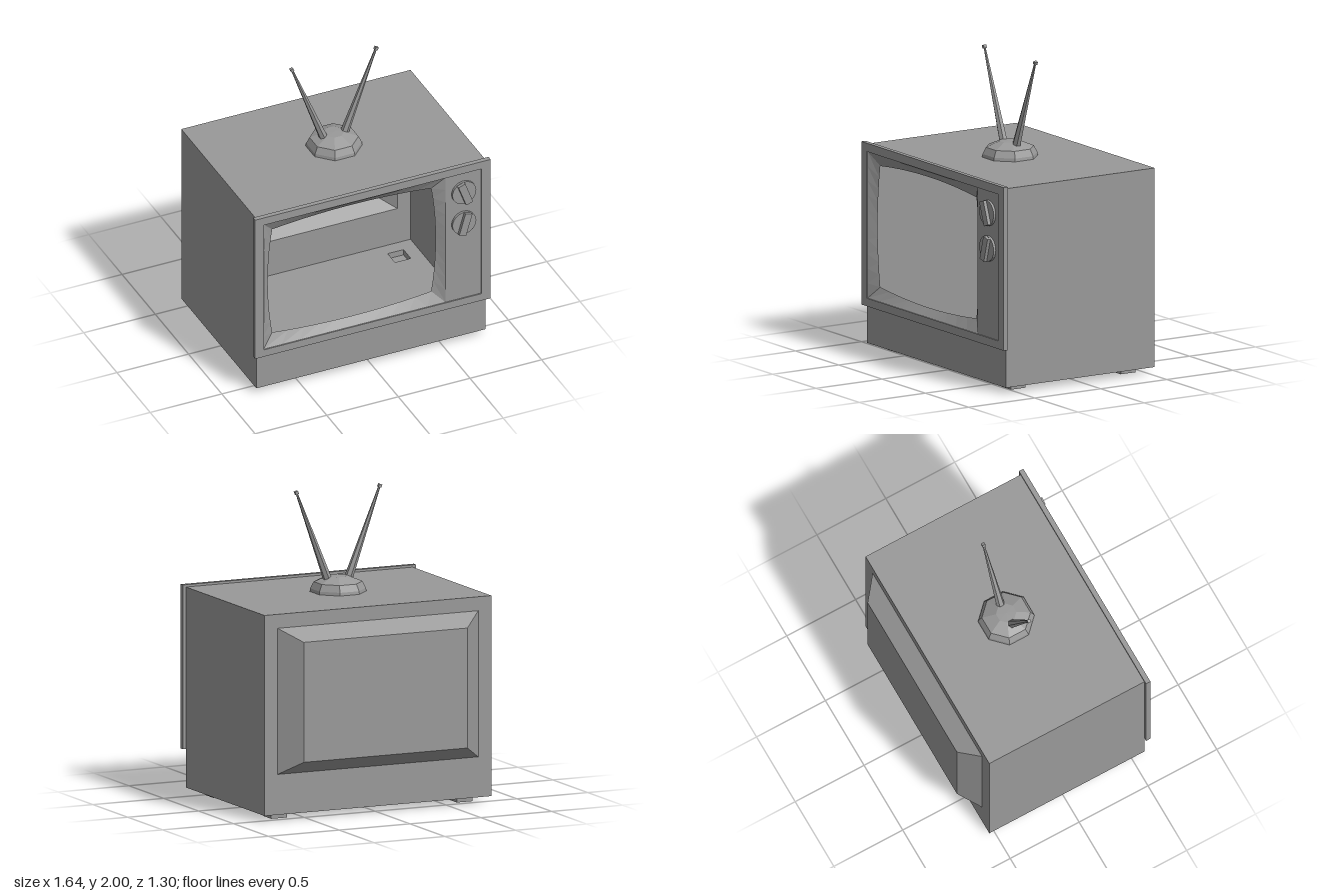
import * as THREE from 'three';

const shell = new THREE.MeshStandardMaterial({ color: 0x999999, flatShading: true, side: THREE.DoubleSide });
shell.name = 'grey';

// Counter-clockwise corners of a rectangle
const rect = (x0, x1, y0, y1) => [[x0, y0], [x1, y0], [x1, y1], [x0, y1]];
const vecs = (pts) => pts.map(([x, y]) => new THREE.Vector2(x, y));

function outline(pts, holes = []) {
  const s = new THREE.Shape(vecs(pts));
  for (const h of holes) s.holes.push(new THREE.Path(vecs(h)));
  return s;
}

// Flat sheet facing +z, with optional holes
const sheet = (pts, holes) => new THREE.ShapeGeometry(outline(pts, holes));

// Band of quads joining two closed loops that lie at heights za and zb
function band(a, za, b, zb) {
  const v = [];
  a.forEach((p, i) => {
    const j = (i + 1) % a.length;
    const A = [...p, za], B = [...a[j], za], C = [...b[j], zb], D = [...b[i], zb];
    v.push(...A, ...B, ...C, ...A, ...C, ...D);
  });
  const g = new THREE.BufferGeometry();
  g.setAttribute('position', new THREE.Float32BufferAttribute(v, 3));
  g.computeVertexNormals();
  return g;
}

// Rectangle with each side split in n and bowed outwards by the given amount
function bowed(x0, x1, y0, y1, bulge, n = 10) {
  const c = rect(x0, x1, y0, y1), out = [];
  for (let k = 0; k < 4; k++) {
    const [ax, ay] = c[k], [bx, by] = c[(k + 1) % 4];
    const len = Math.hypot(bx - ax, by - ay);
    for (let i = 0; i < n; i++) {
      const t = i / n, o = bulge * 4 * t * (1 - t);
      out.push([ax + (bx - ax) * t + (by - ay) / len * o, ay + (by - ay) * t - (bx - ax) / len * o]);
    }
  }
  return out;
}

export function createModel() {
  const model = new THREE.Group();
  model.name = 'television';
  const add = (parent, name, geo, x = 0, y = 0, z = 0) => {
    const m = new THREE.Mesh(geo, shell);
    m.name = name;
    m.position.set(x, y, z);
    parent.add(m);
    return m;
  };
  const group = (name) => {
    const g = new THREE.Group();
    g.name = name;
    model.add(g);
    return g;
  };

  const W = 0.8, Y0 = 0.04, Y1 = 1.33, ZB = -0.54, ZF = 0.588;
  const H = Y1 - Y0, D = ZF - ZB, midY = (Y0 + Y1) / 2, midZ = (ZF + ZB) / 2;
  const window_ = rect(-0.76, 0.757, 0.34, 1.29);

  // Hollow cabinet
  const cabinet = group('cabinet');
  const feetAt = [];
  for (const x of [-0.655, 0.655]) for (const z of [-0.397, 0.435]) feetAt.push([x, z]);
  const f = 0.055;
  add(cabinet, 'floor', sheet(rect(-W, W, ZB, ZF),
    feetAt.map(([x, z]) => rect(x - f, x + f, z - f, z + f))).rotateX(Math.PI / 2), 0, Y0, 0);
  add(cabinet, 'roof', new THREE.PlaneGeometry(2 * W, D).rotateX(-Math.PI / 2), 0, Y1, midZ);
  for (const s of [-1, 1])
    add(cabinet, s > 0 ? 'leftWall' : 'rightWall',
      new THREE.PlaneGeometry(D, H).rotateY(s * Math.PI / 2), s * W, midY, midZ);
  add(cabinet, 'frontWall', sheet(rect(-W, W, Y0, Y1), [window_]), 0, 0, ZF);
  const bumpBase = rect(-0.708, 0.708, 0.3, 1.24), bumpTip = rect(-0.577, 0.577, 0.385, 1.157);
  add(cabinet, 'backWall', sheet(rect(-W, W, Y0, Y1), [bumpBase]).rotateY(Math.PI), 0, 0, ZB);

  // Tapered housing on the back
  const housing = group('rearHousing');
  add(housing, 'housingSides', band(bumpTip, -0.65, bumpBase, ZB));
  add(housing, 'housingBack', sheet(bumpTip).rotateY(Math.PI), 0, 0, -0.65);

  // Open-topped feet
  const feet = group('feet');
  const foot = rect(-f, f, -f, f);
  for (const [x, z] of feetAt) {
    add(feet, 'footSides', band(foot, 0, foot, Y0).rotateX(-Math.PI / 2), x, 0, z);
    add(feet, 'footSole', sheet(foot).rotateX(Math.PI / 2), x, 0, z);
  }

  // Front frame, screen surround and control panel
  const front = group('frontPanel');
  add(front, 'frame', new THREE.ExtrudeGeometry(outline(rect(-0.822, 0.822, 0.288, 1.345), [window_]),
    { depth: 0.032, bevelEnabled: false }), 0, 0, 0.586);
  add(front, 'screenSurround', band(bowed(-0.76, 0.51, 0.34, 1.29, 0), 0.61,
    bowed(-0.68, 0.43, 0.42, 1.205, 0.031), 0.567));
  add(front, 'controlPanel', sheet(rect(0.51, 0.757, 0.34, 1.29)), 0, 0, 0.61);

  // Dials with raised grips
  for (const [y, tilt] of [[1.147, 0.35], [0.917, -0.28]]) {
    const dial = group('dial');
    dial.position.set(0.635, y, 0.61);
    dial.rotation.z = tilt;
    add(dial, 'dialDisc', new THREE.CylinderGeometry(0.083, 0.083, 0.016, 24).rotateX(Math.PI / 2), 0, 0, 0.008);
    add(dial, 'dialGrip', new THREE.BoxGeometry(0.05, 0.158, 0.03), 0, 0, 0.023);
  }

  // Aerial: octagonal dome and two tapered rods with tips
  const aerial = group('aerial');
  aerial.position.z = 0.032;
  const dome = [[0.18, 1.33], [0.177, 1.35], [0.155, 1.393], [0.065, 1.43], [0, 1.432]];
  add(aerial, 'aerialBase', new THREE.LatheGeometry(vecs(dome), 8, Math.PI / 8));
  const up = new THREE.Vector3(0, 1, 0);
  for (const s of [-1, 1]) {
    const a = new THREE.Vector3(s * 0.073, 1.41, 0), b = new THREE.Vector3(s * 0.293, 1.985, 0);
    const dir = b.clone().sub(a), mid = a.clone().add(b).multiplyScalar(0.5);
    const rod = add(aerial, 'aerialRod', new THREE.CylinderGeometry(0.007, 0.028, dir.length(), 6), ...mid.toArray());
    rod.quaternion.setFromUnitVectors(up, dir.normalize());
    const tip = add(aerial, 'aerialTip', new THREE.BoxGeometry(0.021, 0.021, 0.021), s * 0.294, 1.986, 0);
    tip.quaternion.copy(rod.quaternion);
  }
  return model;
}
